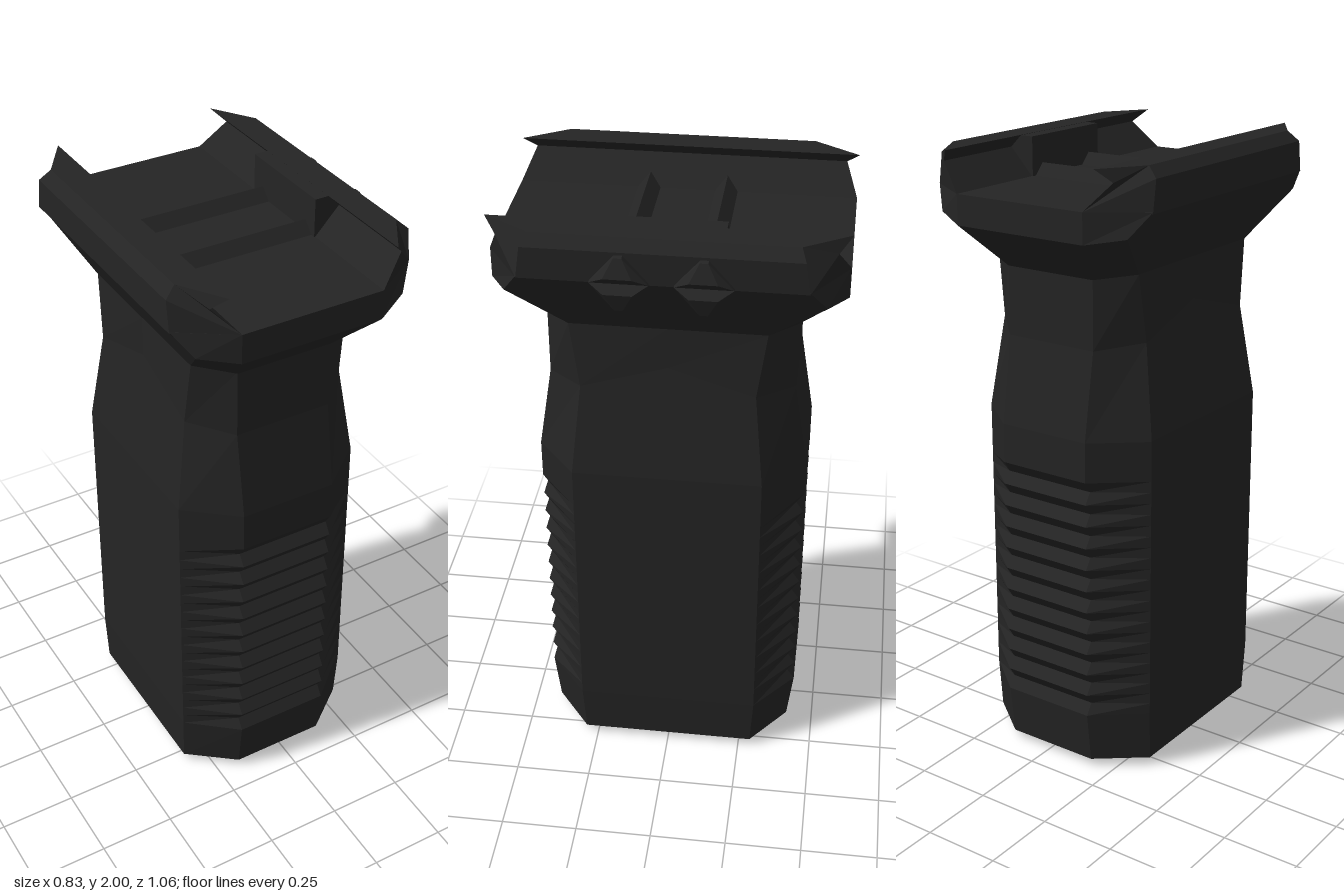
import * as THREE from 'three';
import { ConvexGeometry } from 'three/addons/geometries/ConvexGeometry.js';

const CX = -0.018; // centre line of the grip; the screws stick out on one side

function geometryFrom(triangles) {
  const geo = new THREE.BufferGeometry();
  geo.setAttribute('position', new THREE.Float32BufferAttribute(triangles.flat(2), 3));
  geo.computeVertexNormals();
  return geo;
}

// Eight-sided ring with an extra point in the middle of each side.
// front = [x, y, z] of a front corner, side = [x, y, z] of a side corner, mid = [x, y].
function ring(front, side, mid = side) {
  const [fx, fy, fz] = front, [sx, sy, sz] = side, [mx, my] = mid;
  const half = [[fx, fy, fz], [sx, sy, sz], [mx, my, 0], [sx, sy, -sz], [fx, fy, -fz]];
  const other = half.map(([x, y, z]) => [-x, y, z]).reverse();
  return [...half, ...other].map(([x, y, z]) => [x + CX, y, z]);
}

// Skin between rings, closed by a fan at each end.
function loft(rings, bottomY, topY) {
  const tris = [], n = rings[0].length, last = rings[rings.length - 1];
  for (let i = 0; i < n; i++) {
    const j = (i + 1) % n;
    for (let k = 0; k < rings.length - 1; k++) {
      const lo = rings[k], hi = rings[k + 1];
      tris.push([lo[i], lo[j], hi[j]], [lo[i], hi[j], hi[i]]);
    }
    tris.push([[CX, bottomY, 0], rings[0][j], rings[0][i]]);
    tris.push([[CX, topY, 0], last[i], last[j]]);
  }
  return geometryFrom(tris);
}

// Prism along z whose half length is given for every profile point [x, y, halfLength].
function railGeometry(profile, side) {
  const pts = profile.map(([x, y, z]) => [side * x + CX, y, z]);
  if (side < 0) pts.reverse();
  const front = pts, back = pts.map(([x, y, z]) => [x, y, -z]);
  const caps = THREE.ShapeUtils.triangulateShape(pts.map(([x, y]) => new THREE.Vector2(x, y)), []);
  const tris = [];
  for (const [a, b, c] of caps) tris.push([front[a], front[b], front[c]], [back[c], back[b], back[a]]);
  pts.forEach((p, i) => {
    const j = (i + 1) % pts.length;
    tris.push([front[i], back[i], back[j]], [front[i], back[j], front[j]]);
  });
  return geometryFrom(tris);
}

const hull = (points) => new ConvexGeometry(points.map((p) => new THREE.Vector3(...p)));

export function createModel() {
  const model = new THREE.Group();
  model.name = 'verticalGrip';
  const black = new THREE.MeshStandardMaterial({ color: 0x242424, flatShading: true });
  black.name = 'blackPolymer';
  const add = (name, geo, parent = model) => {
    const mesh = new THREE.Mesh(geo, black);
    mesh.name = name;
    parent.add(mesh);
    return mesh;
  };

  // Handle: chamfered foot, ribbed middle, narrowed neck
  const rings = [
    ring([0.16, 0.03, 0.41], [0.312, 0.03, 0.29]),
    ring([0.16, 0.2, 0.43], [0.317, 0.2, 0.3]),
  ];
  const ribs = 11, pitch = 0.81 / ribs;
  for (let i = 0; i < ribs; i++) {
    const y = 0.2 + i * pitch;
    rings.push(ring([0.16, y + pitch / 2, 0.405], [0.317, y + pitch / 2, 0.3]));
    rings.push(ring([0.16, y + pitch, 0.43], [0.317, y + pitch, 0.3]));
  }
  rings.push(
    ring([0.16, 1.14, 0.43], [0.317, 1.14, 0.3]),
    ring([0.16, 1.42, 0.385], [0.275, 1.44, 0.27], [0.267, 1.52]),
    ring([0.16, 1.645, 0.385], [0.267, 1.655, 0.3]),
  );
  add('handle', loft(rings, 0.003, 1.65));

  // Flared head under the rail channel
  add('head', loft([
    ring([0.16, 1.64, 0.385], [0.267, 1.655, 0.3]),
    ring([0.232, 1.78, 0.53], [0.345, 1.8, 0.47]),
    ring([0.232, 1.875, 0.53], [0.397, 1.875, 0.42]),
  ], 1.65, 1.875));

  // Clamp rails with a V groove on the inside
  const profile = [
    [0.397, 1.87, 0.42], [0.397, 1.968, 0.405], [0.362, 2, 0.39],
    [0.272, 2, 0.53], [0.312, 1.96, 0.492], [0.232, 1.875, 0.53],
  ];
  add('leftRail', railGeometry(profile, 1));
  add('rightRail', railGeometry(profile, -1));

  // Locking lug in the middle of the left rail
  const lug = add('lockingLug', new THREE.BoxGeometry(0.09, 0.13, 0.345));
  lug.position.set(0.255, 1.934, 0);

  for (const side of [-1, 1]) {
    // Cross ridges on the channel floor
    const z = side * 0.122;
    add('crossRidge', hull([
      [-0.25, 1.87, z - 0.04], [-0.25, 1.87, z + 0.04], [-0.285, 1.912, z],
      [0.215, 1.87, z - 0.04], [0.215, 1.87, z + 0.04], [0.215, 1.912, z],
    ]));

    // Diamond-headed screw, two halves leaving a V slot between them
    const screw = new THREE.Group();
    screw.name = 'screw';
    model.add(screw);
    for (const up of [-1, 1]) {
      const points = [];
      for (const s of [-1, 1]) {
        points.push(
          [0.33, 1.875, z + s * 0.086], [0.39, 1.875, z + s * 0.086],
          [0.413, 1.875 + up * 0.025, z + s * 0.042],
          [0.395, 1.875 + up * 0.083, z + s * 0.012],
          [0.33, 1.875 + up * 0.09, z + s * 0.012],
        );
      }
      add('screwHalf', hull(points), screw);
    }
  }
  return model;
}
